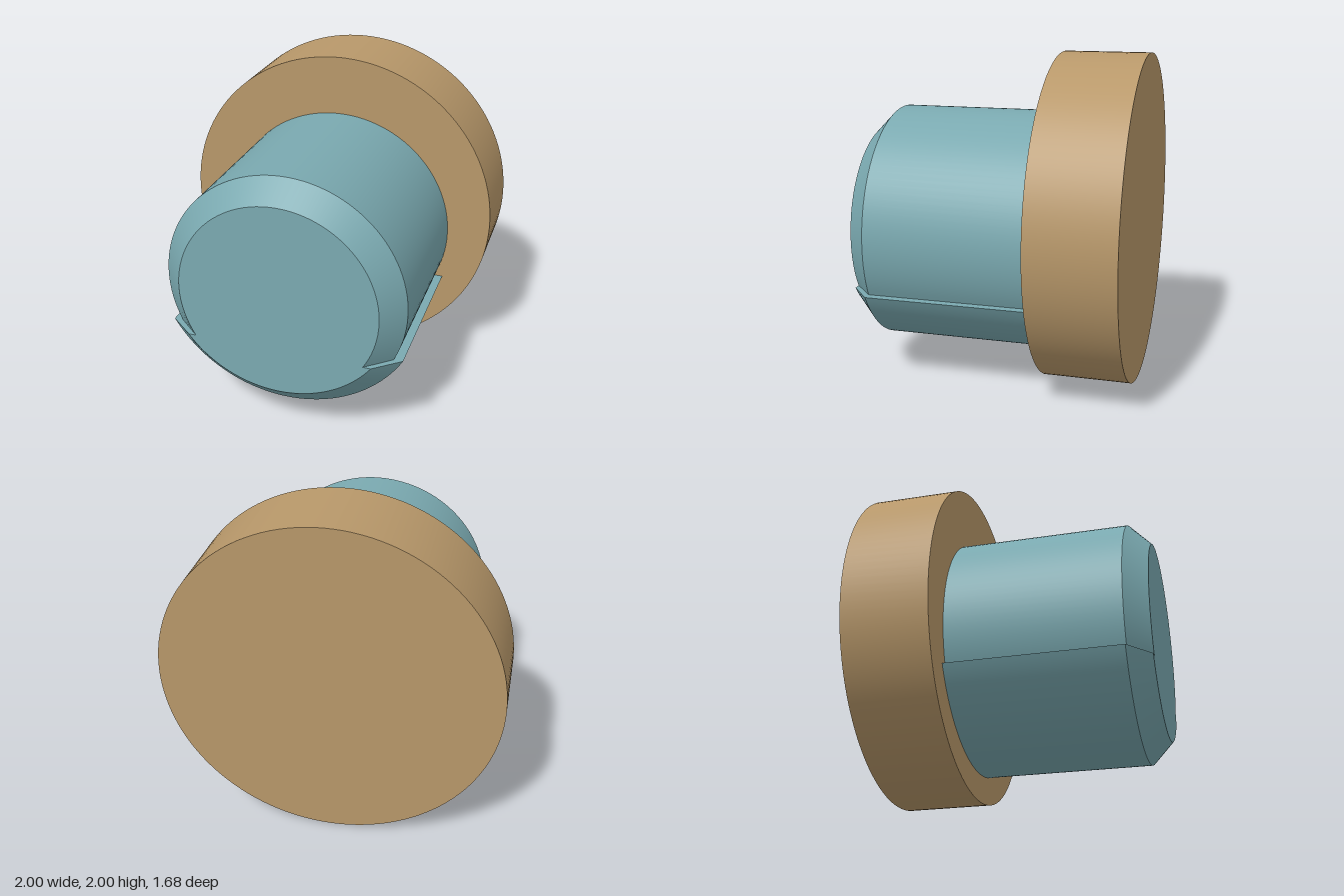
import * as THREE from 'three';
import { toCreasedNormals } from 'three/addons/utils/BufferGeometryUtils.js';

const LEDGE_Y = 0.585, BACK = -0.84, SHOULDER = -0.32, FRONT = 0.84, CHAMFER = 0.13;
const SEGMENTS = 72;

// Points of an arc about (0, cy), running between its two meetings with the ledge height
function arc(cy, r, upper) {
  const a = Math.asin((LEDGE_Y - cy) / r);
  const start = upper ? a : Math.PI - a;
  const end = upper ? Math.PI - a : 2 * Math.PI + a;
  return Array.from({ length: SEGMENTS + 1 }, (_, i) => {
    const t = start + (end - start) * i / SEGMENTS;
    return new THREE.Vector2(r * Math.cos(t), cy + r * Math.sin(t));
  });
}

// Counter-clockwise outline: round upper part, wider lower part, flat ledges between
function pinOutline(inset) {
  return [...arc(0.9, 0.735 - inset, true), ...arc(1, 0.83 - inset, false)];
}

// Skin joining outlines of equal point count, back to front
function loft(sections) {
  const n = sections[0].points.length;
  const positions = [], index = [];
  sections.forEach(({ points, z }) => points.forEach((p) => positions.push(p.x, p.y, z)));
  for (let s = 0; s < sections.length - 1; s++) {
    for (let i = 0; i < n; i++) {
      const a = s * n + i, b = s * n + (i + 1) % n;
      index.push(a, b, b + n, a, b + n, a + n);
    }
  }
  const geometry = new THREE.BufferGeometry();
  geometry.setAttribute('position', new THREE.Float32BufferAttribute(positions, 3));
  geometry.setIndex(index);
  return toCreasedNormals(geometry, 0.5);
}

export function createModel() {
  const model = new THREE.Group();
  const tan = new THREE.MeshStandardMaterial({ color: 0xb8986a });
  const teal = new THREE.MeshStandardMaterial({ color: 0x7aa9b0 });

  const add = (name, geometry, material, parent) => {
    const mesh = new THREE.Mesh(geometry, material);
    mesh.name = name;
    parent.add(mesh);
  };

  // Wide round head at the back
  const depth = SHOULDER - BACK;
  const head = new THREE.CylinderGeometry(1, 1, depth, 128);
  head.rotateX(Math.PI / 2).translate(0, 1, BACK + depth / 2);
  add('head', head, tan, model);

  // Stepped pin with a chamfered front end
  const pin = new THREE.Group();
  pin.name = 'pin';
  model.add(pin);
  const full = pinOutline(0), tip = pinOutline(CHAMFER);
  add('pinSide', loft([
    { points: full, z: SHOULDER },
    { points: full, z: FRONT - CHAMFER },
    { points: tip, z: FRONT },
  ]), teal, pin);
  add('pinEndFace', new THREE.ShapeGeometry(new THREE.Shape(tip)).translate(0, 0, FRONT), teal, pin);

  return model;
}
